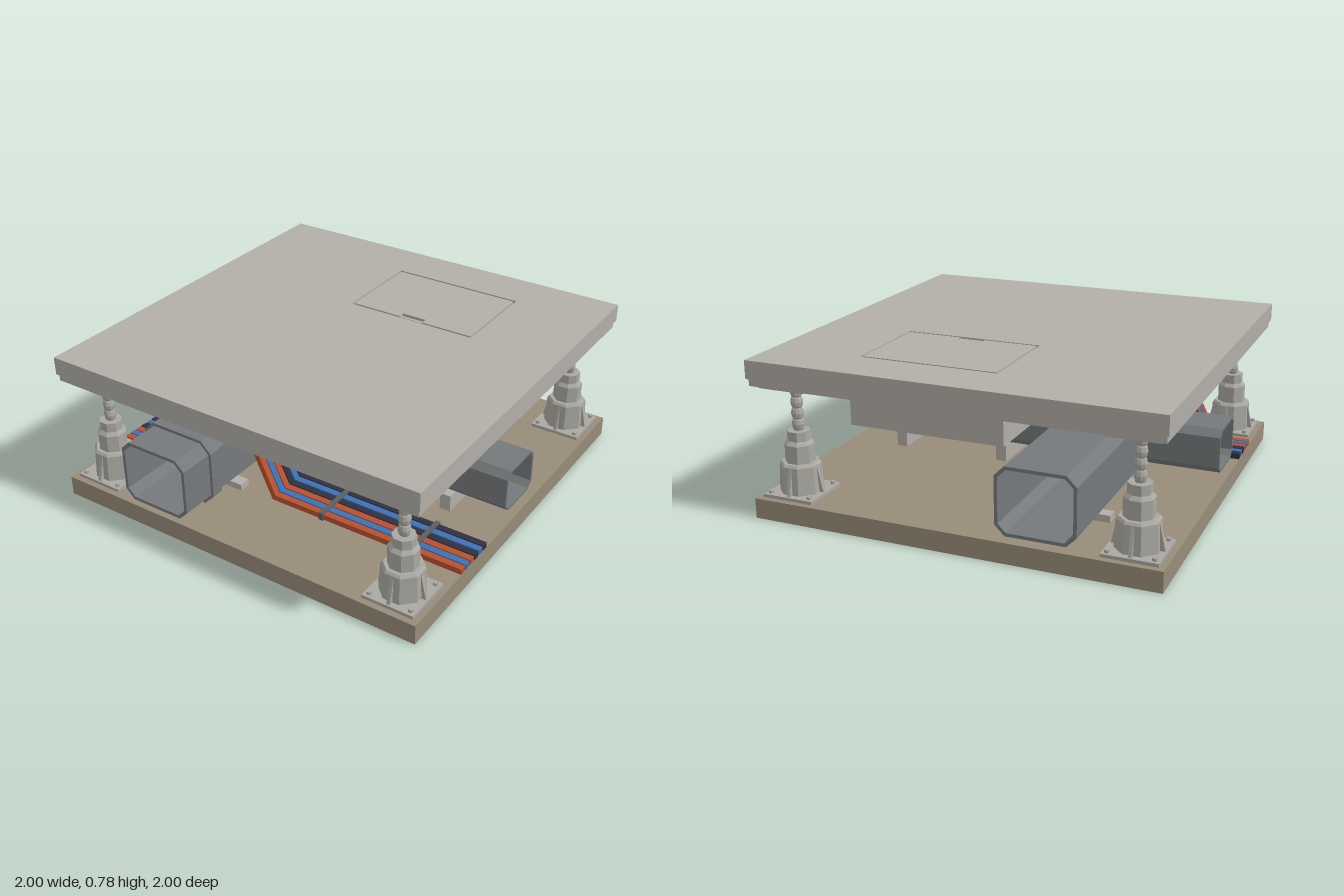
import * as THREE from 'three';

const mat = (name, color) => {
  const m = new THREE.MeshStandardMaterial({ color });
  m.name = name;
  return m;
};

export function createModel() {
  const root = new THREE.Group();
  root.name = 'raisedFloorModule';
  const concrete = mat('concrete', 0x988c78);
  const panelGrey = mat('panelGrey', 0xb2aea8);
  const steel = mat('steel', 0xaaa8a1);
  const ductGrey = mat('ductGrey', 0x75797b);
  const orange = mat('orangeCable', 0xb8502f);
  const blue = mat('blueCable', 0x3c70b4);
  const navy = mat('darkCable', 0x2f3040);
  const tie = mat('tieGrey', 0x5c5e60);

  const add = (parent, name, geometry, material, x = 0, y = 0, z = 0) => {
    const mesh = new THREE.Mesh(geometry, material);
    mesh.name = name;
    mesh.position.set(x, y, z);
    parent.add(mesh);
    return mesh;
  };
  // box given by its limits on each axis
  const box = (parent, name, material, x0, x1, y0, y1, z0, z1) =>
    add(parent, name, new THREE.BoxGeometry(x1 - x0, y1 - y0, z1 - z0), material,
      (x0 + x1) / 2, (y0 + y1) / 2, (z0 + z1) / 2);
  const points = (list) => list.map(([x, y]) => new THREE.Vector2(x, y));
  const rect = (x0, x1, y0, y1) => points([[x0, y0], [x1, y0], [x1, y1], [x0, y1]]);
  const extrude = (shape, depth) => new THREE.ExtrudeGeometry(shape, { depth, bevelEnabled: false });

  // subfloor slab
  box(root, 'subfloor', concrete, -1, 1, 0, 0.1, -1, 1);

  // floor panel: tray, core and a top sheet with the hatch opening
  const panel = new THREE.Group();
  panel.name = 'floorPanel';
  root.add(panel);
  box(panel, 'panelTray', panelGrey, -0.99, 0.99, 0.655, 0.69, -0.99, 0.99);
  box(panel, 'panelCore', panelGrey, -1, 1, 0.69, 0.762, -1, 1);
  const sheet = new THREE.Shape(rect(-1, 1, -1, 1));
  sheet.holes.push(new THREE.Path(rect(-0.15, 0.545, 0.26, 0.75)));
  add(panel, 'topSheet', extrude(sheet, 0.018), panelGrey, 0, 0.762, 0).rotation.x = -Math.PI / 2;
  const lid = new THREE.Shape(points([
    [-0.138, 0.272], [0.13, 0.272], [0.13, 0.307], [0.262, 0.307],
    [0.262, 0.272], [0.533, 0.272], [0.533, 0.738], [-0.138, 0.738],
  ]));
  add(panel, 'hatchLid', extrude(lid, 0.018), panelGrey, 0, 0.762, 0).rotation.x = -Math.PI / 2;
  box(panel, 'hatchPull', panelGrey, 0.13, 0.262, 0.762, 0.775, -0.29, -0.272);
  box(panel, 'outletBox', panelGrey, -0.19, 0.585, 0.455, 0.655, -0.785, -0.21);

  // adjustable pedestals
  const turned = (profile, sides) => {
    const g = new THREE.LatheGeometry(points(profile), sides, Math.PI / sides).toNonIndexed();
    g.computeVertexNormals();
    return g;
  };
  const base = turned([[0, 0.1], [0.108, 0.1], [0.1, 0.25], [0.09, 0.262], [0.072, 0.262],
    [0.072, 0.35], [0.056, 0.368], [0.056, 0.415], [0, 0.415]], 8);
  const rodProfile = [[0.02, 0.41]];
  for (let i = 0; i < 4; i++) {
    const y = 0.425 + i * 0.054;
    rodProfile.push([0.026, y], [0.03, y + 0.02], [0.026, y + 0.04], [0.022, y + 0.047]);
  }
  rodProfile.push([0.024, 0.642]);
  const rod = turned(rodProfile, 10);
  const rib = extrude(new THREE.Shape(points([[0.08, 0.115], [0.122, 0.115], [0.092, 0.25], [0.08, 0.25]])), 0.016);
  rib.translate(0, 0, -0.008);
  const bolt = new THREE.CylinderGeometry(0.012, 0.012, 0.014, 6);
  for (const px of [-0.84, 0.84]) {
    for (const pz of [-0.84, 0.84]) {
      const pedestal = new THREE.Group();
      pedestal.name = 'pedestal';
      pedestal.position.set(px, 0, pz);
      root.add(pedestal);
      box(pedestal, 'footPlate', steel, -0.13, 0.13, 0.1, 0.116, -0.13, 0.13);
      box(pedestal, 'headPlate', steel, -0.12, 0.12, 0.64, 0.655, -0.12, 0.12);
      add(pedestal, 'socket', base, steel);
      add(pedestal, 'threadedRod', rod, steel);
      for (let i = 0; i < 4; i++) {
        add(pedestal, 'rib', rib, steel).rotation.y = i * Math.PI / 2;
        add(pedestal, 'bolt', bolt, steel, i % 2 ? 0.105 : -0.105, 0.123, i < 2 ? 0.105 : -0.105);
      }
    }
  }

  // hollow ducts with chamfered corners, running along z
  const chamfered = (w, h, c) => {
    const a = w / 2, b = h / 2;
    return points([[-a + c, -b], [a - c, -b], [a, -b + c], [a, b - c],
      [a - c, b], [-a + c, b], [-a, b - c], [-a, -b + c]]);
  };
  const tube = (w, h, c, wall, length) => {
    const shape = new THREE.Shape(chamfered(w, h, c));
    shape.holes.push(new THREE.Path(chamfered(w - 2 * wall, h - 2 * wall, c - wall * 0.58)));
    const g = extrude(shape, length);
    g.translate(0, 0, -length / 2);
    return g;
  };
  add(root, 'mainDuct', tube(0.38, 0.324, 0.048, 0.016, 2), ductGrey, -0.428, 0.295, 0);
  add(root, 'ductCollar', tube(0.408, 0.352, 0.056, 0.015, 0.065), ductGrey, -0.428, 0.296, 0.79);
  for (const [x0, x1] of [[-1, -0.617], [-0.239, 1]]) {
    add(root, 'branchDuct', tube(0.275, 0.22, 0.034, 0.013, x1 - x0), ductGrey,
      (x0 + x1) / 2, 0.295, 0.052).rotation.y = Math.PI / 2;
  }
  for (const z of [-0.595, 0.595]) {
    box(root, 'mainDuctSaddle', panelGrey, -0.64, -0.215, 0.1, 0.134, z - 0.03, z + 0.03);
  }
  for (const x of [0.123, 0.695]) {
    box(root, 'branchDuctBlock', panelGrey, x - 0.028, x + 0.028, 0.1, 0.186, -0.11, 0.21);
  }

  // flat cables bridging the main duct, drawn together at the crest
  const low = 0.118, high = 0.476, half = 0.014, s = half * 0.618;
  const edge = (k) => [[-1, low + k * half], [-0.82 - k * s, low + k * half],
    [-0.643 - k * s, high + k * half], [-0.213 + k * s, high + k * half],
    [-0.032 + k * s, low + k * half], [1, low + k * half]];
  const outline = new THREE.Shape(points([...edge(-1), ...edge(1).reverse()]));
  [orange, blue, orange, navy, blue, navy].forEach((colour, i) => {
    const g = extrude(outline, 0.034);
    const p = g.attributes.position;
    for (let v = 0; v < p.count; v++) {
      const t = THREE.MathUtils.clamp((p.getY(v) - low) / (high - low), 0, 1);
      const centre = THREE.MathUtils.lerp(0.585 - 0.041 * i, 0.572 - 0.0365 * i, t);
      p.setZ(v, p.getZ(v) - 0.017 + centre);
    }
    g.computeVertexNormals();
    add(root, 'cable', g, colour);
  });
  for (const x of [0.247, 0.74]) {
    box(root, 'cableTie', tie, x - 0.012, x + 0.012, 0.1, 0.14, 0.355, 0.608);
  }
  return root;
}
